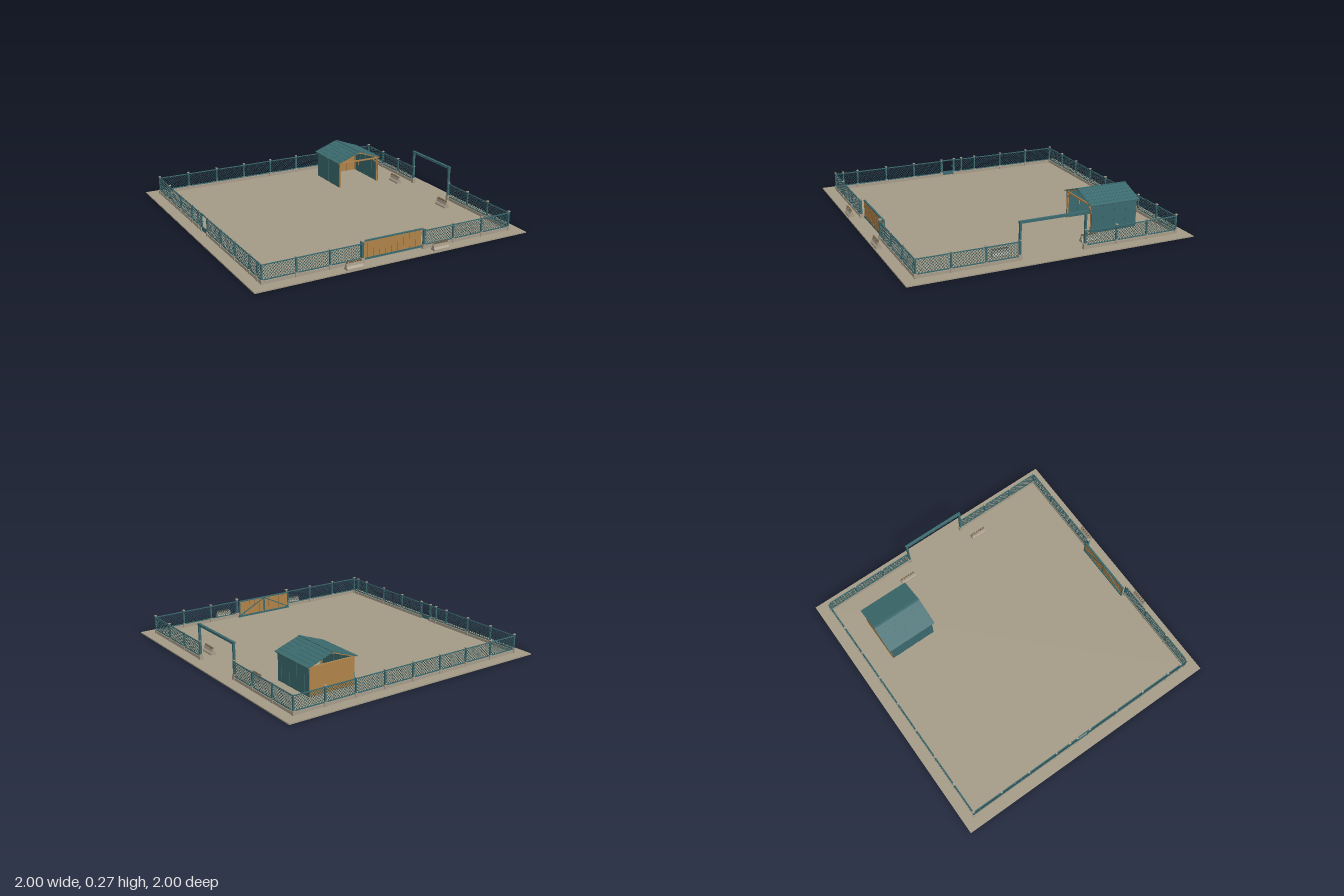
import * as THREE from 'three';
import { mergeGeometries } from 'three/addons/utils/BufferGeometryUtils.js';

const mat = (name, color) => {
  const m = new THREE.MeshStandardMaterial({ color });
  m.name = name;
  return m;
};

export function createModel() {
  const sand = mat('sand', 0xa49a86);
  const concrete = mat('concrete', 0xa89c8a);
  const teal = mat('teal metal', 0x3b6a6e);
  const wireTeal = mat('dark teal wire', 0x2c5256);
  const wood = mat('wood', 0xb0824a);
  const darkWood = mat('dark wood', 0x7d6a50);
  const root = new THREE.Group();
  root.name = 'fencedYard';

  const group = (name, parent = root) => {
    const g = new THREE.Group();
    g.name = name;
    parent.add(g);
    return g;
  };
  const box = (parent, name, m, w, h, d, x, y, z, rz = 0, rx = 0) => {
    const mesh = new THREE.Mesh(new THREE.BoxGeometry(w, h, d), m);
    mesh.name = name;
    mesh.position.set(x, y, z);
    mesh.rotation.set(rx, 0, rz);
    parent.add(mesh);
    return mesh;
  };
  // Bar between two points in an xy plane
  const bar = (parent, name, m, x1, y1, x2, y2, z, t, d) =>
    box(parent, name, m, Math.hypot(x2 - x1, y2 - y1), t, d,
      (x1 + x2) / 2, (y1 + y2) / 2, z, Math.atan2(y2 - y1, x2 - x1));

  // Ground slab
  const G = 0.008;
  box(root, 'ground', sand, 2, G, 2, 0, G / 2, 0);

  // Post with concrete footing and cap
  const post = (parent, x, z, top = 0.138, w = 0.01) => {
    const p = group('fencePost', parent);
    box(p, 'footing', concrete, w + 0.008, 0.03, w + 0.008, x, G + 0.015, z);
    box(p, 'shaft', teal, w, top - G, w, x, (top + G) / 2, z);
    box(p, 'cap', concrete, w + 0.005, 0.006, w + 0.005, x, top + 0.003, z);
  };

  // Chain-link panel running from x1 to x2 in the local xy plane
  const panel = (parent, x1, x2) => {
    const p = group('fencePanel', parent);
    const L = x2 - x1, cx = (x1 + x2) / 2, y0 = 0.034, H = 0.096, step = 0.02;
    box(p, 'kerb', concrete, L, 0.02, 0.01, cx, G + 0.01, 0);
    for (const y of [y0, y0 + H]) box(p, 'rail', teal, L, 0.006, 0.006, cx, y, 0);
    const wires = [];
    for (let c = -H + step / 2; c < L; c += step) {
      const a = Math.max(0, -c), b = Math.min(H, L - c);
      if (b - a < 0.004) continue;
      const t = (a + b) / 2;
      for (const s of [1, -1]) {
        const g = new THREE.BoxGeometry((b - a) * Math.SQRT2, 0.002, 0.002);
        g.rotateZ(s * Math.PI / 4);
        g.translate(cx + s * (c + t - L / 2), y0 + t, 0);
        wires.push(g);
      }
    }
    if (!wires.length) return;
    const mesh = new THREE.Mesh(mergeGeometries(wires), wireTeal);
    mesh.name = 'wireMesh';
    p.add(mesh);
  };

  // Fence run: posts at each stop, panels between, opening where the gap starts
  const E = 0.914;
  const run = (name, stops, gapAt) => {
    const r = group(name);
    stops.forEach((s, i) => {
      post(r, s, 0);
      if (i < stops.length - 1 && s !== gapAt) panel(r, s, stops[i + 1]);
    });
    return r;
  };
  const even = [-E, -0.686, -0.457, -0.229, 0, 0.229, 0.457, 0.686, E];
  const open = even.filter((v) => v !== 0);
  run('backFence', even).position.z = -E;
  run('frontFence', open, -0.229).position.z = E;
  const right = run('rightFence', open, -0.229);
  right.position.x = E;
  right.rotation.y = -Math.PI / 2;
  const left = run('leftFence',
    [-E, -0.686, -0.457, -0.229, -0.115, -0.052, 0.055, 0.286, 0.515, 0.743, 0.855, E], -0.052);
  left.position.x = -E;
  left.rotation.y = -Math.PI / 2;

  // Small walk-through gate in the left fence
  const walk = group('walkGate', left);
  for (const x of [-0.046, 0.049]) box(walk, 'stile', teal, 0.008, 0.12, 0.008, x, 0.075, 0);
  box(walk, 'topRail', teal, 0.1, 0.007, 0.008, 0.0015, 0.133, 0);
  box(walk, 'kickPanel', teal, 0.095, 0.03, 0.006, 0.0015, 0.03, 0);
  box(walk, 'latch', teal, 0.012, 0.005, 0.014, -0.036, 0.08, 0);

  // Sliding wooden gate
  const gate = group('slidingGate');
  for (const x of [-0.229, 0.229]) post(gate, x, E, 0.146, 0.015);
  const n = 10, pw = 0.444 / n;
  for (let i = 0; i < n; i++)
    box(gate, 'gatePlank', wood, pw - 0.002, 0.115, 0.006, -0.222 + pw * (i + 0.5), 0.077, 0.889);
  for (const y of [0.018, 0.134]) box(gate, 'gateRail', teal, 0.45, 0.008, 0.012, 0, y, 0.887);
  for (const x of [-0.222, 0, 0.222]) box(gate, 'gateStile', teal, 0.007, 0.115, 0.008, x, 0.076, 0.883);
  for (const s of [-1, 1]) bar(gate, 'gateBrace', teal, s * 0.218, 0.022, 0, 0.13, 0.883, 0.007, 0.005);
  box(gate, 'track', teal, 0.46, 0.006, 0.012, 0, G + 0.003, 0.887);

  // Tall entrance frame on the right side
  const portal = group('entranceFrame');
  for (const z of [-0.229, 0.229]) {
    box(portal, 'frameFooting', concrete, 0.024, 0.038, 0.024, 0.91, G + 0.019, z);
    box(portal, 'framePost', teal, 0.015, 0.255, 0.013, 0.91, 0.136, z);
  }
  box(portal, 'frameBeam', teal, 0.018, 0.016, 0.474, 0.91, 0.257, 0);
  for (let i = -4; i <= 4; i++) box(portal, 'beamPeg', teal, 0.006, 0.006, 0.008, 0.899, 0.256, i * 0.05);

  // Open-fronted shed
  const shed = group('shed');
  shed.position.set(0.515, 0, -0.573);
  const hw = 0.17, hd = 0.173, top = 0.2;
  const m = 8, sw = (2 * hd) / m;
  for (const s of [-1, 1]) {
    for (let i = 0; i < m; i++)
      box(shed, 'sidePlank', teal, 0.007 + (i % 2) * 0.003, top - G, sw, s * hw, (top + G) / 2, -hd + sw * (i + 0.5));
    for (const z of [-1, 1])
      box(shed, 'cornerPost', wood, 0.011, top - G, 0.011, s * (hw - 0.006), (top + G) / 2, z * (hd - 0.004));
    bar(shed, 'kneeBrace', wood, s * 0.165, 0.158, s * 0.125, 0.195, hd - 0.004, 0.007, 0.008);
  }
  for (let i = 0; i < 4; i++)
    box(shed, 'backPlank', wood, 0.085 - 0.001, top - G, 0.007, -0.1275 + i * 0.085, (top + G) / 2, -hd);
  for (const z of [-hd + 0.004, 0, hd - 0.004]) {
    box(shed, 'tieBeam', wood, 0.35, 0.01, 0.01, 0, 0.197, z);
    for (const s of [-1, 1]) bar(shed, 'rafter', wood, s * 0.183, 0.198, 0, 0.262, z, 0.008, 0.01);
  }
  box(shed, 'hangingPost', wood, 0.007, 0.035, 0.008, 0, 0.18, hd - 0.004);
  box(shed, 'ridgeBeam', wood, 0.008, 0.008, 0.36, 0, 0.26, 0);

  // Lapped roof boards, stepped down from the ridge on both slopes
  const slope = Math.atan2(0.068, 0.187), k = 6;
  for (const s of [-1, 1])
    for (let i = 0; i < k; i++) {
      const t = (i + 0.5) / k;
      box(shed, 'roofBoard', teal, 0.2 / k + 0.004, 0.005, 0.376,
        s * 0.187 * t, 0.27 - 0.068 * t + 0.001, 0, -s * (slope - 0.06));
    }
  box(shed, 'ridgeCap', teal, 0.014, 0.005, 0.376, 0, 0.272, 0);

  // Concrete barriers with a notched crest
  const profile = new THREE.Shape([[-0.02, 0], [0.02, 0], [0.02, 0.01], [0.009, 0.024], [0.006, 0.042],
    [-0.006, 0.042], [-0.009, 0.024], [-0.02, 0.01]].map((p) => new THREE.Vector2(...p)));
  const block = new THREE.ExtrudeGeometry(profile, { depth: 0.115, bevelEnabled: false });
  block.translate(0, 0, -0.0575);
  for (const [x, z, turn] of [[-0.322, 0.972, 1], [0.318, 0.972, 1], [0.8, -0.318, 0], [0.8, 0.313, 0]]) {
    const b = group('barrier');
    b.position.set(x, G, z);
    b.rotation.y = turn * Math.PI / 2;
    const body = new THREE.Mesh(block, concrete);
    body.name = 'barrierBody';
    b.add(body);
    for (let i = 0; i < 6; i++)
      box(b, 'crestBlock', darkWood, 0.01, 0.012, 0.011, 0, 0.047, -0.0475 + i * 0.019);
  }
  return root;
}
